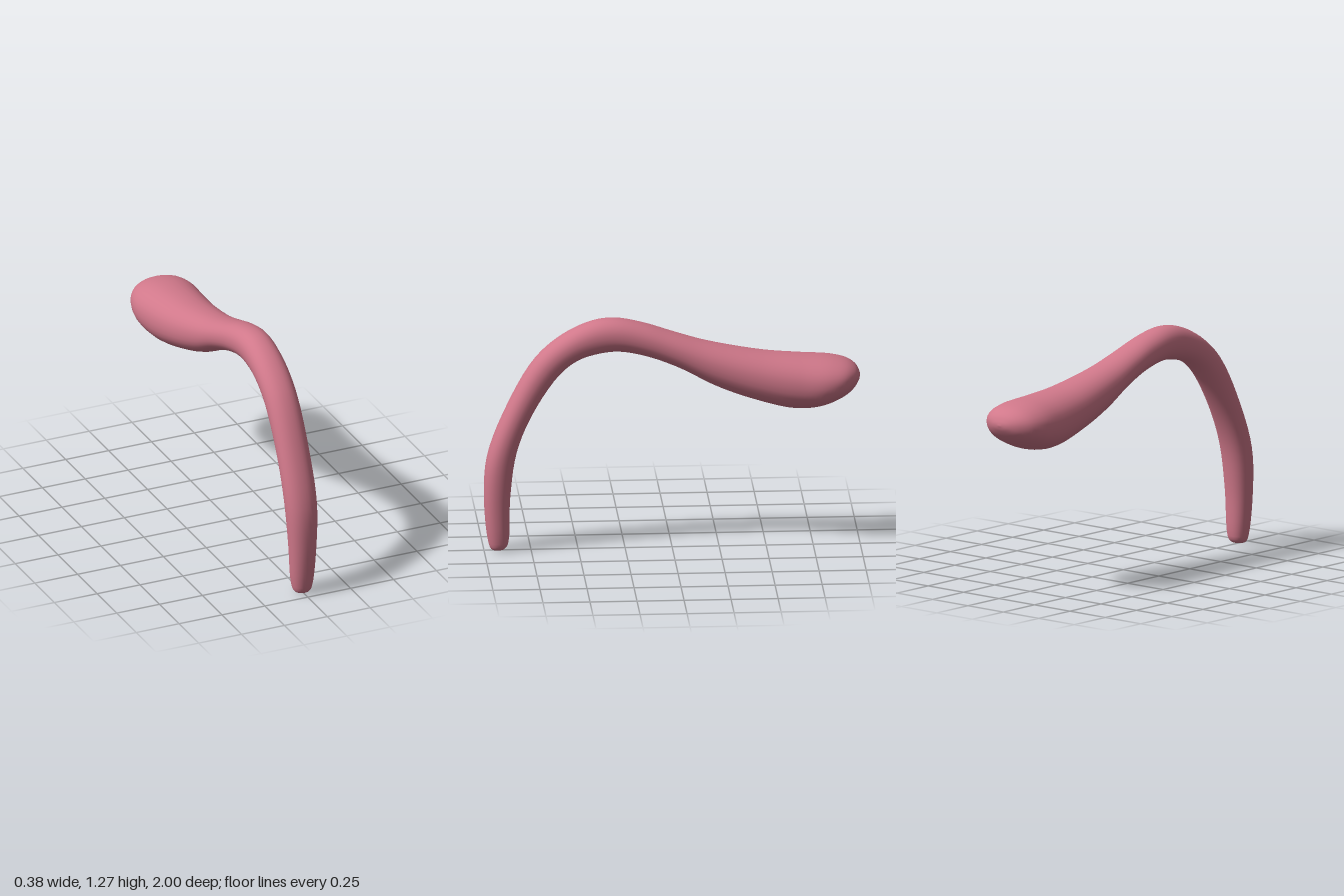
import * as THREE from 'three';
import { mergeVertices } from 'three/addons/utils/BufferGeometryUtils.js';

// Stations from foot to head: half width, outer z, outer y, inner z, inner y
const STATIONS = [
  [0, 0.925, 0.005, 0.925, 0.005],
  [0.042, 0.962, 0.014, 0.886, 0.018],
  [0.056, 0.977, 0.05, 0.87, 0.05],
  [0.075, 1.0, 0.28, 0.86, 0.3],
  [0.087, 0.985, 0.52, 0.825, 0.55],
  [0.088, 0.88, 0.8, 0.74, 0.76],
  [0.089, 0.73, 1.06, 0.6, 0.97],
  [0.09, 0.58, 1.19, 0.5, 1.05],
  [0.09, 0.42, 1.263, 0.39, 1.085],
  [0.092, 0.3, 1.275, 0.28, 1.095],
  [0.096, 0.15, 1.245, 0.13, 1.065],
  [0.106, 0, 1.195, -0.04, 1.0],
  [0.125, -0.18, 1.14, -0.23, 0.9],
  [0.155, -0.48, 1.08, -0.43, 0.825],
  [0.178, -0.68, 1.06, -0.65, 0.772],
  [0.188, -0.84, 1.047, -0.79, 0.783],
  [0.165, -0.925, 1.027, -0.885, 0.82],
  [0.115, -0.973, 0.998, -0.95, 0.862],
  [0.055, -0.994, 0.965, -0.988, 0.91],
  [0, -1.0, 0.94, -1.0, 0.94],
];

const RING = 32;
const STEPS = 5;

// Loft a rounded section between the outer and inner edge curves
function loftGeometry() {
  const outer = new THREE.CatmullRomCurve3(STATIONS.map(([w, z, y]) => new THREE.Vector3(w, y, z)));
  const inner = new THREE.CatmullRomCurve3(STATIONS.map(([w, , , z, y]) => new THREE.Vector3(w, y, z)));
  const rows = (STATIONS.length - 1) * STEPS;
  const positions = [];
  const index = [];
  const round = (v) => Math.sign(v) * Math.abs(v) ** 0.92;

  for (let i = 0; i <= rows; i++) {
    const a = outer.getPoint(i / rows);
    const b = inner.getPoint(i / rows);
    for (let j = 0; j < RING; j++) {
      const angle = (j / RING) * Math.PI * 2;
      const c = round(Math.cos(angle));
      const s = round(Math.sin(angle));
      positions.push(
        ((a.x + b.x) / 2) * c,
        (a.y + b.y) / 2 + ((a.y - b.y) / 2) * s,
        (a.z + b.z) / 2 + ((a.z - b.z) / 2) * s,
      );
      if (i === rows) continue;
      const k = (j + 1) % RING;
      const p = i * RING + j, q = i * RING + k;
      // Triangle fans at the two closed ends, quads elsewhere
      if (i < rows - 1) index.push(p, p + RING, q + RING);
      if (i > 0) index.push(p, q + RING, q);
    }
  }
  const geometry = new THREE.BufferGeometry();
  geometry.setAttribute('position', new THREE.Float32BufferAttribute(positions, 3));
  geometry.setIndex(index);
  const merged = mergeVertices(geometry, 1e-5);
  merged.computeVertexNormals();
  return merged;
}

export function createModel() {
  const group = new THREE.Group();
  group.name = 'curvedHandle';
  const body = new THREE.Mesh(loftGeometry(), new THREE.MeshStandardMaterial({ color: 0xd0788a }));
  body.name = 'curvedBody';
  group.add(body);
  return group;
}
